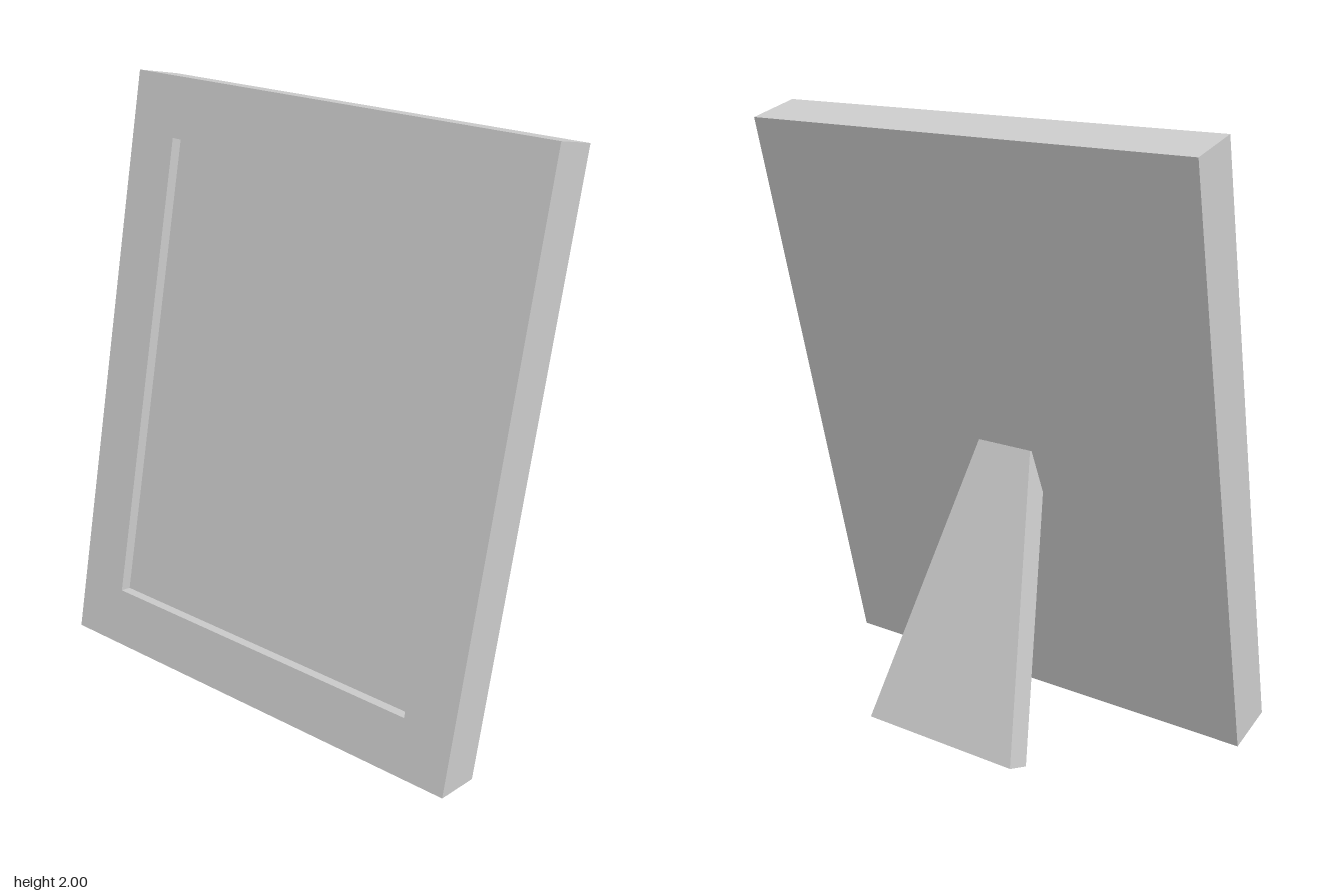
import * as THREE from 'three';

// Frame dimensions
const W = 1.573, H = 2.01, D = 0.183;
const OPEN_W = 1.217, OPEN_H = 1.61, RECESS = 0.04;

function polygon(points, Type = THREE.Shape) {
  return new Type(points.map(([x, y]) => new THREE.Vector2(x, y)));
}

function rectangle(w, h, Type) {
  const x = w / 2, y = h / 2;
  return polygon([[-x, -y], [x, -y], [x, y], [-x, y]], Type);
}

function addMesh(parent, name, geometry, material) {
  const mesh = new THREE.Mesh(geometry, material);
  mesh.name = name;
  parent.add(mesh);
  return mesh;
}

export function createModel() {
  const material = new THREE.MeshStandardMaterial({ color: 0xcccccc, flatShading: true });
  const model = new THREE.Group();
  model.name = 'pictureFrame';
  model.rotation.y = THREE.MathUtils.degToRad(-24.6);

  // Leaning frame: a border around the opening, in front of a solid back panel
  const frame = new THREE.Group();
  frame.name = 'frame';
  frame.position.y = 1;
  frame.rotation.x = THREE.MathUtils.degToRad(-12.9);
  model.add(frame);

  const borderShape = rectangle(W, H);
  borderShape.holes.push(rectangle(OPEN_W, OPEN_H, THREE.Path));
  const border = addMesh(frame, 'frameBorder',
    new THREE.ExtrudeGeometry(borderShape, { depth: RECESS, bevelEnabled: false }), material);
  border.position.z = D / 2 - RECESS;

  const panel = addMesh(frame, 'backPanel', new THREE.BoxGeometry(W, H, D - RECESS), material);
  panel.position.z = -RECESS / 2;

  // Tapered easel leg leaning against the back
  const legShape = polygon([[-0.28, 0], [0.28, 0], [0.1, 0.975], [-0.1, 0.975]]);
  const leg = addMesh(model, 'standLeg',
    new THREE.ExtrudeGeometry(legShape, { depth: 0.096, bevelEnabled: false }), material);
  leg.position.set(-0.02, 0.055, -0.466);
  leg.rotation.x = THREE.MathUtils.degToRad(22.6);

  const root = new THREE.Group();
  root.name = 'standingPictureFrame';
  root.add(model);
  return root;
}
